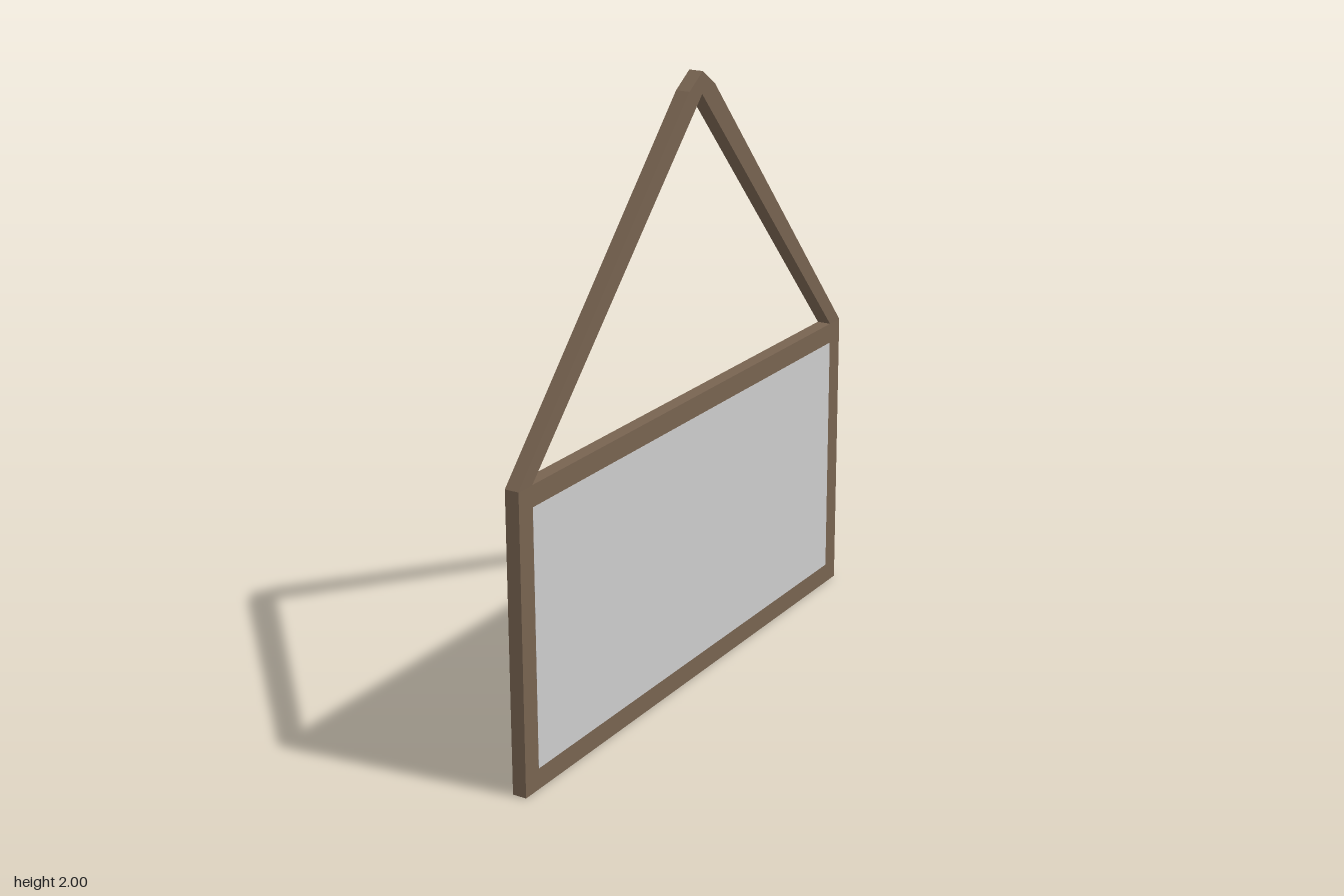
import * as THREE from 'three';

const wood = new THREE.MeshStandardMaterial({ color: 0x776350, flatShading: true });
const pane = new THREE.MeshStandardMaterial({ color: 0xcccccc, flatShading: true });

const BACK = -0.036, THICK = 0.047; // sign thickness runs along x
const W = 0.963, H = 0.965, RAIL = 0.068;

const shapeOf = (pts) => new THREE.Shape(pts.map(([z, y]) => new THREE.Vector2(z, y)));
const rect = (w, y0, y1) => [[-w, y0], [w, y0], [w, y1], [-w, y1]];

// Extrude a side outline (z, y) along x
function slab(shape) {
  const geo = new THREE.ExtrudeGeometry(shape, { depth: THICK, bevelEnabled: false });
  return geo.rotateY(Math.PI / 2).translate(BACK, 0, 0);
}

function addPart(group, name, geo, material) {
  const mesh = new THREE.Mesh(geo, material);
  mesh.name = name;
  group.add(mesh);
}

export function createModel() {
  const group = new THREE.Group();
  group.name = 'hangingBoard';

  // Rectangular wooden frame
  const frame = shapeOf(rect(W, 0, H));
  frame.holes.push(shapeOf(rect(W - RAIL, RAIL, H - RAIL)));
  addPart(group, 'frame', slab(frame), wood);

  // Board filling the frame, nearly flush on both faces
  const board = new THREE.BoxGeometry(THICK + 0.001, H - 2 * RAIL, 2 * (W - RAIL));
  board.translate(BACK + THICK / 2, H / 2, 0);
  addPart(group, 'board', board, pane);

  // Hanging strap with a blunted peak, leaning slightly towards +x
  const strap = slab(shapeOf([
    [W, H], [0.074, 1.95], [0, 2], [-0.074, 1.95], [-W, H],
    [-W + RAIL, H], [0, 1.93], [W - RAIL, H],
  ]));
  const pos = strap.attributes.position;
  for (let i = 0; i < pos.count; i++) {
    pos.setX(i, pos.getX(i) + (pos.getY(i) - H) * 0.0242);
  }
  strap.computeVertexNormals();
  addPart(group, 'hangingStrap', strap, wood);

  return group;
}
